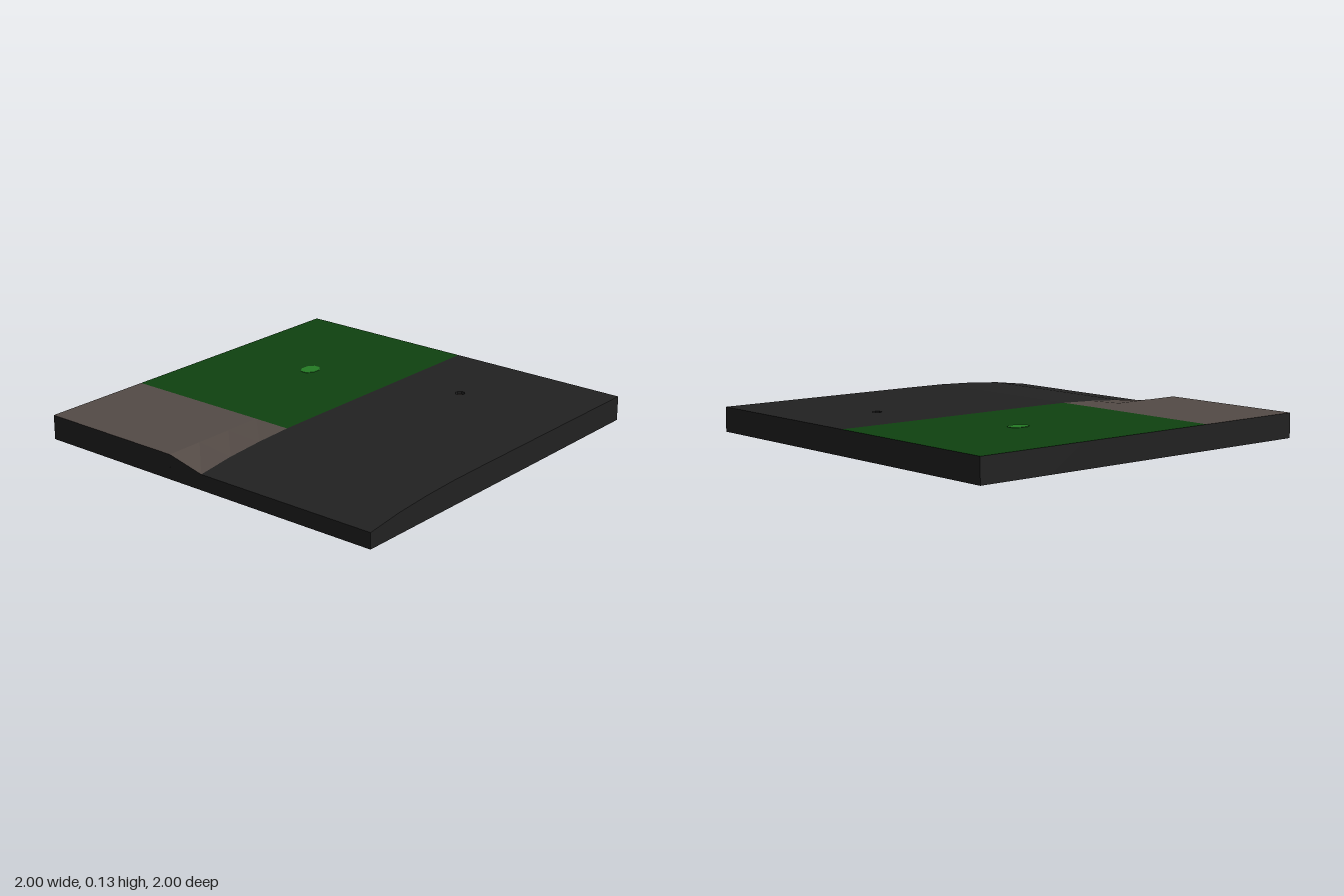
import * as THREE from 'three';

const TOP = 0.127;
// surface height along x at the low front edge; the ground dips toward -x
const DIP = [[-1, 0.08], [-0.8, 0.105], [-0.6, 0.119], [-0.4, 0.126], [-0.2, TOP]];

function dipHeight(x) {
  for (let i = 1; i < DIP.length; i++) {
    const [x0, y0] = DIP[i - 1], [x1, y1] = DIP[i];
    if (x <= x1 + 1e-4) return y0 + (y1 - y0) * (x - x0) / (x1 - x0);
  }
  return TOP;
}

// full dip for z >= 0, ramping up to level ground at z = -0.2
function groundHeight(x, z) {
  const t = THREE.MathUtils.clamp((z + 0.2) / 0.2, 0, 1);
  return TOP + (dipHeight(x) - TOP) * t;
}

function makeMaterial(name, color) {
  const m = new THREE.MeshStandardMaterial({ color });
  m.name = name;
  return m;
}

export function createModel() {
  const group = new THREE.Group();
  const dark = makeMaterial('charcoal', 0x222222);
  const green = makeMaterial('dark green', 0x0f4210);
  const bright = makeMaterial('bright green', 0x247c24);
  const stone = makeMaterial('stone brown', 0x544b46);

  const add = (name, geometry, material) => {
    const mesh = new THREE.Mesh(geometry, material);
    mesh.name = name;
    group.add(mesh);
    return mesh;
  };

  // slab of ground with dark sides whose top follows the ground height
  const slab = (name, x0, x1, z0, z1, topMaterial) => {
    const segments = Math.round((x1 - x0) / 0.2);
    let g = new THREE.BoxGeometry(x1 - x0, 1, z1 - z0, segments, 1, 1);
    g.translate((x0 + x1) / 2, 0.5, (z0 + z1) / 2);
    const p = g.attributes.position;
    for (let i = 0; i < p.count; i++) {
      if (p.getY(i) > 0.5) p.setY(i, groundHeight(p.getX(i), p.getZ(i)));
    }
    g = g.toNonIndexed();
    g.computeVertexNormals();
    add(name, g, [dark, dark, topMaterial, dark, dark, dark]);
  };

  // back half: stone path and lawn, each with a ramp strip
  slab('stonePath', -1, -0.4, -1, -0.2, stone);
  slab('stoneRamp', -1, -0.4, -0.2, 0, stone);
  slab('lawn', -0.4, 1, -1, -0.2, green);
  slab('lawnRamp', -0.4, 1, -0.2, 0, green);

  // front half: sloping end and level plate with a small hole
  slab('slopingGround', -1, -0.2, 0, 1, dark);
  const hole = { x: 0.53, z: 0.355, r: 0.026, depth: 0.015 };
  const plate = new THREE.Shape([[-0.2, -1], [1, -1], [1, 0], [-0.2, 0]]
    .map(([x, y]) => new THREE.Vector2(x, y)));
  const rim = [];
  for (let i = 0; i < 8; i++) {
    const a = -(i + 0.5) * Math.PI / 4;
    rim.push(new THREE.Vector2(hole.x + hole.r * Math.cos(a), -hole.z + hole.r * Math.sin(a)));
  }
  plate.holes.push(new THREE.Path(rim));
  const plateGeometry = new THREE.ExtrudeGeometry(plate, { depth: TOP, bevelEnabled: false });
  plateGeometry.rotateX(-Math.PI / 2);
  add('levelGround', plateGeometry, dark);

  // stone floor of the hole
  const floorHeight = TOP - hole.depth;
  const floor = add('holeFloor',
    new THREE.CylinderGeometry(hole.r, hole.r, floorHeight, 8, 1, false, Math.PI / 8),
    [dark, stone, dark]);
  floor.position.set(hole.x, floorHeight / 2, hole.z);

  // bright patch on the lawn
  const patch = add('grassPatch',
    new THREE.CylinderGeometry(1, 1, 0.002, 8, 1, false, Math.PI / 8), bright);
  patch.scale.set(0.06, 1, 0.046);
  patch.position.set(0.315, TOP + 0.001, -0.463);

  return group;
}
